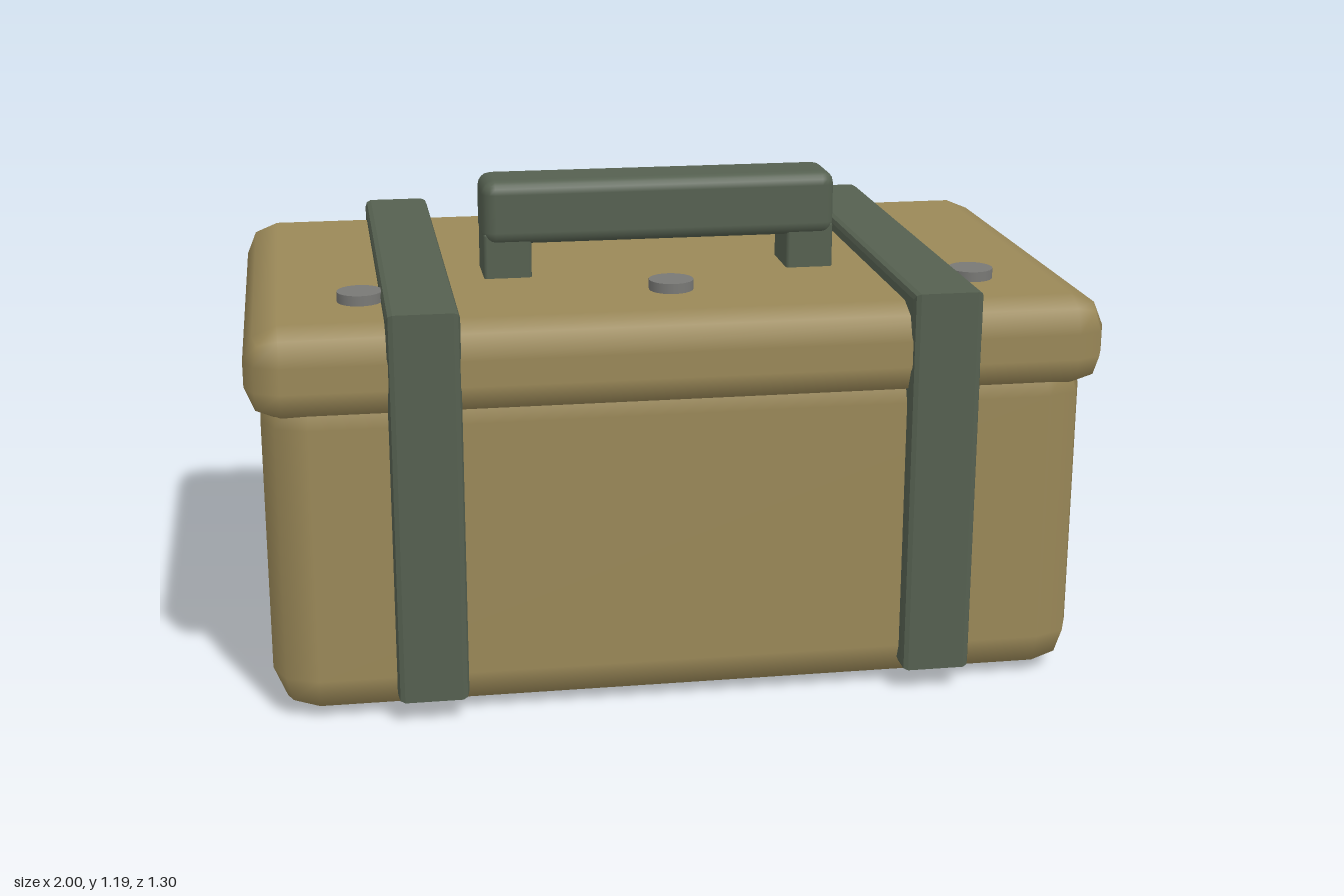
import * as THREE from 'three';
import { RoundedBoxGeometry } from 'three/addons/geometries/RoundedBoxGeometry.js';

const flat = (name, color) => {
  const m = new THREE.MeshStandardMaterial({ color });
  m.name = name;
  return m;
};

export function createModel() {
  const tan = flat('tan', 0x9a8858);
  const green = flat('dark green', 0x556050);
  const grey = flat('metal grey', 0x787875);
  const cream = flat('pale label', 0xc0c3ae);

  const group = new THREE.Group();
  group.name = 'strappedCase';

  const add = (name, geometry, material, x = 0, y = 0, z = 0) => {
    const mesh = new THREE.Mesh(geometry, material);
    mesh.name = name;
    mesh.position.set(x, y, z);
    group.add(mesh);
    return mesh;
  };

  // Rounded box given by its centre x, width, and y and z ranges
  const block = (name, material, x, width, [y0, y1], [z0, z1], radius, segments = 1) =>
    add(name, new RoundedBoxGeometry(width, y1 - y0, z1 - z0, segments, radius),
      material, x, (y0 + y1) / 2, (z0 + z1) / 2);

  // Case body and overhanging lid
  block('body', tan, 0, 1.935, [0, 0.82], [-0.525, 0.612], 0.105);
  block('lid', tan, 0, 2, [0.73, 0.95], [-0.56, 0.64], 0.08);

  // Strap: an arch running up the front, over the lid and down the back
  const bevel = 0.015;
  const arch = new THREE.Shape([
    [0.635, 0.07], [0.635, 0.97], [-0.552, 0.97], [-0.552, 0.07],
    [-0.49, 0.07], [-0.49, 0.9], [0.57, 0.9], [0.57, 0.07],
  ].map(([z, y]) => new THREE.Vector2(-z, y)));
  const strapWidth = 0.165;
  const strapGeometry = new THREE.ExtrudeGeometry(arch, {
    depth: strapWidth - 2 * bevel, bevelThickness: bevel, bevelSize: bevel, bevelSegments: 2,
  });
  strapGeometry.translate(0, 0, bevel - strapWidth / 2);
  strapGeometry.rotateY(Math.PI / 2);

  for (const side of [-1, 1]) {
    const label = side > 0 ? 'left' : 'right';
    add(`${label}Strap`, strapGeometry, green, side * 0.6);
    block(`${label}Latch`, grey, side * 0.6, 0.262, [0.42, 0.72], [-0.652, -0.56], 0.008);
    block(`${label}HandlePost`, green, side * 0.37, 0.115, [0.92, 1.06], [0.07, 0.215], 0.008);
  }

  // Carrying handle
  block('handleGrip', green, 0, 0.86, [1.03, 1.186], [0.06, 0.225], 0.032, 2);

  // Lid studs
  const studGeometry = new THREE.CylinderGeometry(0.053, 0.053, 0.04, 24);
  for (const x of [-0.73, 0, 0.73]) add('lidStud', studGeometry, grey, x, 0.954, 0.373);

  // Label plate on the back
  block('backLabel', cream, 0, 0.625, [0.355, 0.7], [-0.575, -0.52], 0.006);

  return group;
}
